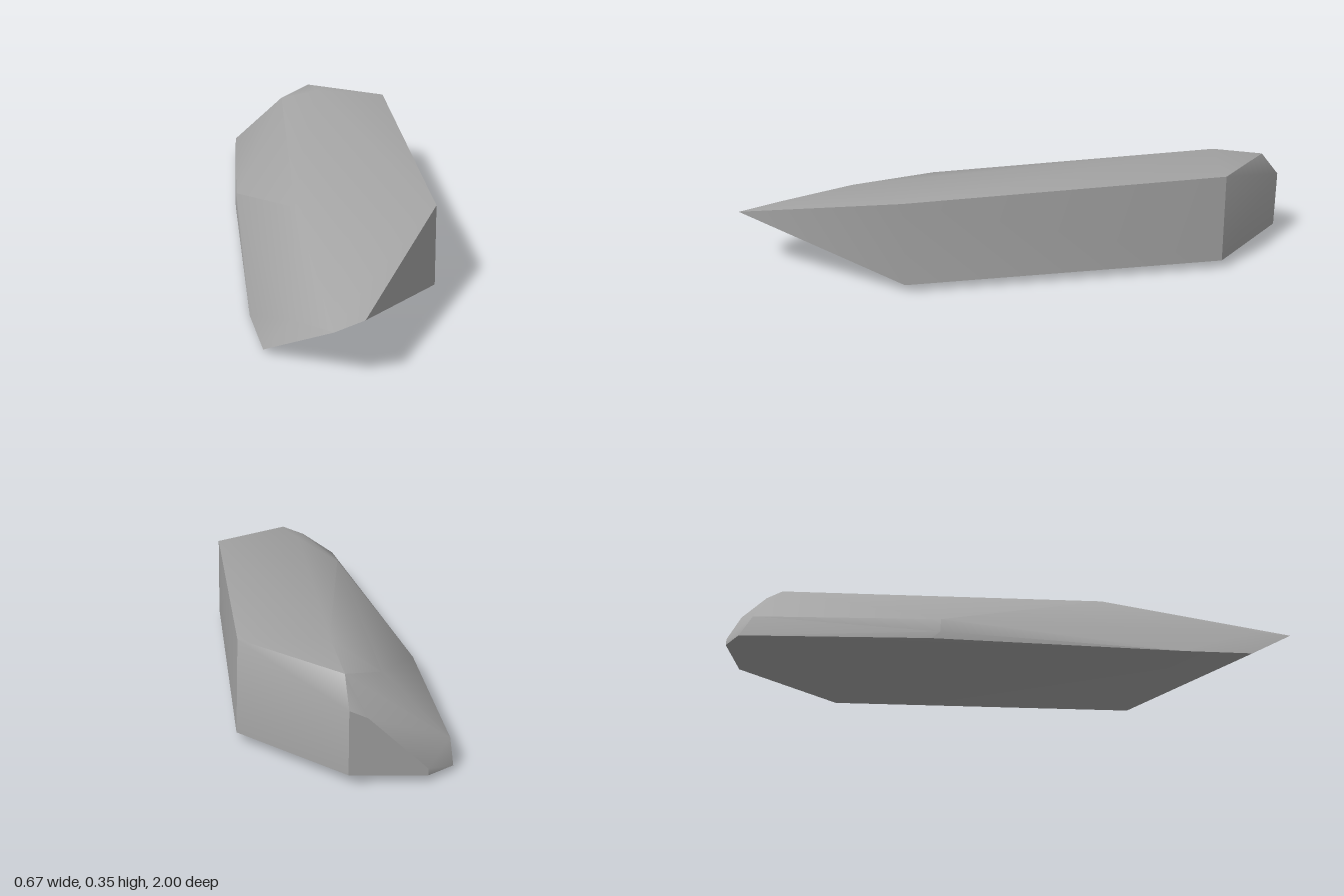
import * as THREE from 'three';
import { ConvexGeometry } from 'three/addons/geometries/ConvexGeometry.js';
import { toCreasedNormals } from 'three/addons/utils/BufferGeometryUtils.js';

export function createModel() {
  const group = new THREE.Group();
  group.name = 'stoneShard';
  const stone = new THREE.MeshStandardMaterial({ color: 0xa4a4a4 });
  stone.name = 'grey stone';

  // corners of the chipped slab, grouped by region
  const corners = [
    // upright flat side
    [0.33, 0.32, 0.44], [0.335, 0.027, 0.44], [0.29, 0.343, -0.69], [0.30, 0.03, -0.69],
    // front tip
    [0.035, 0.213, 1], [-0.055, 0.177, 1], [0.05, 0.25, 0.85], [-0.17, 0.135, 0.84],
    // front lower corner
    [-0.257, 0.012, 0.8], [-0.295, 0, 0.56],
    // thin side
    [-0.333, 0.088, -0.27], [-0.333, 0.088, -0.9], [-0.337, 0.04, -0.27],
    [-0.337, 0.015, -0.3], [-0.337, 0.015, -0.94],
    // back end
    [-0.015, 0.235, -1], [-0.015, 0.03, -1], [-0.07, 0.21, -1], [-0.25, 0.018, -1],
    [-0.25, 0.04, -1], [-0.01, 0.32, -0.93],
    // rounded top ridge
    [0.012, 0.355, -0.73], [-0.13, 0.288, -0.85], [-0.13, 0.268, 0.3], [0, 0.28, 0.6],
  ];

  const hull = new ConvexGeometry(corners.map((p) => new THREE.Vector3(...p)));
  const body = new THREE.Mesh(toCreasedNormals(hull, 0.6), stone);
  body.name = 'shardBody';
  group.add(body);
  return group;
}
